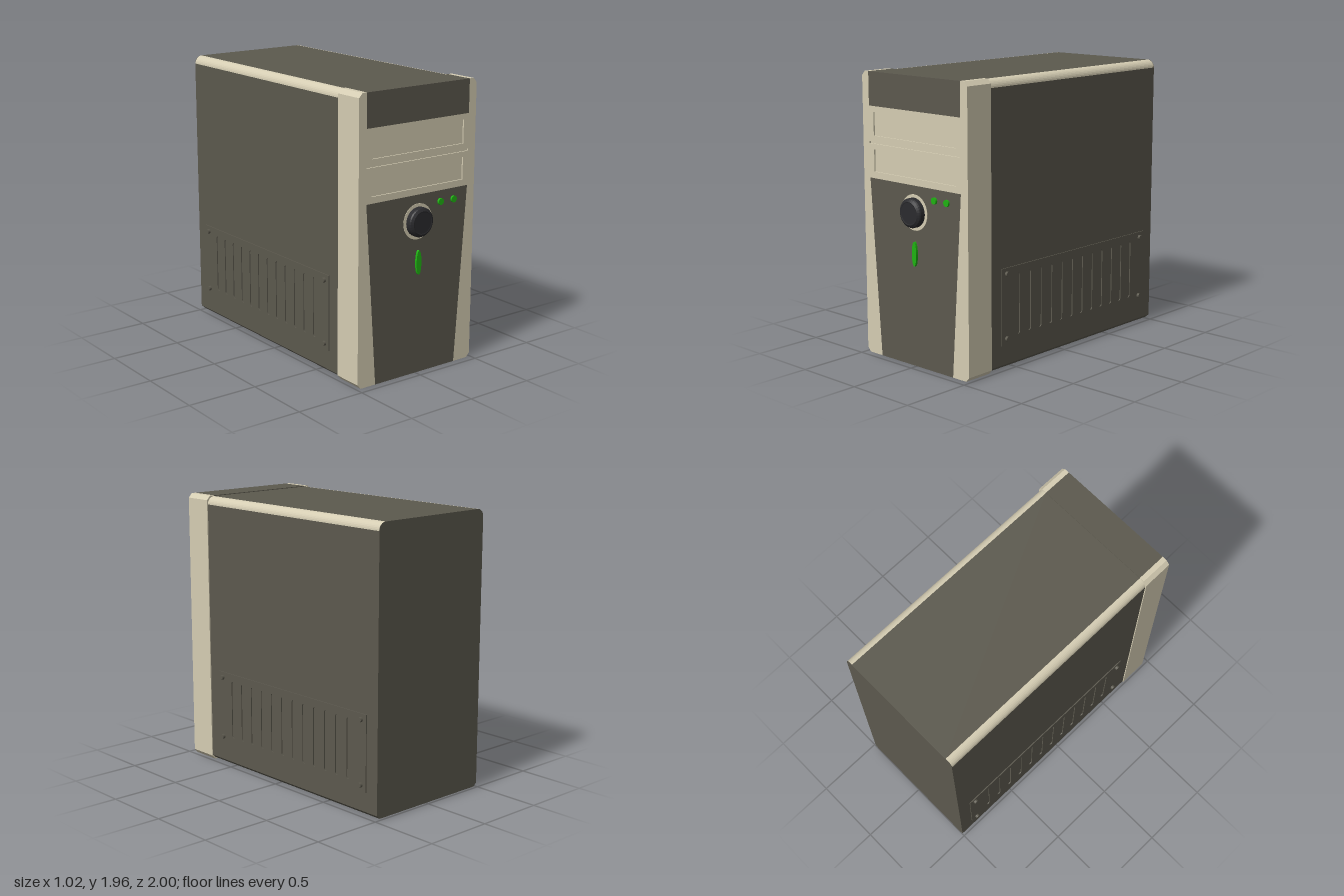
import * as THREE from 'three';

const mat = (color) => new THREE.MeshStandardMaterial({ color });

export function createModel() {
  const root = new THREE.Group();
  const dark = mat(0x5c594e), cream = mat(0xd5cdb3), black = mat(0x2b2b2e), green = mat(0x1fb312);

  const add = (name, geometry, material, parent = root) => {
    const mesh = new THREE.Mesh(geometry, material);
    mesh.name = name;
    parent.add(mesh);
    return mesh;
  };
  const poly = (points) => new THREE.Shape(points.map(([x, y]) => new THREE.Vector2(x, y)));
  const rect = (x0, x1, y0, y1) => poly([[x0, y0], [x1, y0], [x1, y1], [x0, y1]]);
  // Extrude an xy outline from z0 to z1
  const slab = (shape, z0, z1) =>
    new THREE.ExtrudeGeometry(shape, { depth: z1 - z0, bevelEnabled: false, curveSegments: 16 }).translate(0, 0, z0);
  // Cylinder pointing along +z from z0 to z1
  const disc = (r0, r1, x, y, z0, z1, n = 24) =>
    new THREE.CylinderGeometry(r1, r0, z1 - z0, n).rotateX(Math.PI / 2).translate(x, y, (z0 + z1) / 2);

  // Case body with room for the rounded top edge strips
  const back = -1, seam = 0.73, front = 0.945;
  const W = 0.485, top = 1.955, low = 0.012;
  const arc = [];
  for (let i = 0; i <= 8; i++) {
    const a = (i / 8) * Math.PI / 2;
    arc.push([0.43 + 0.055 * Math.cos(a), 1.9 + 0.055 * Math.sin(a)]);
  }
  const flip = (pts) => pts.map(([x, y]) => [-x, y]).reverse();
  const base = [[-W, 0.035], [-W + 0.025, low], [W - 0.025, low], [W, 0.035]];
  add('caseBody', slab(poly([...base, [W, 1.9], [0.43, 1.9], [0.43, top], [-0.43, top], [-0.43, 1.9], [-W, 1.9]]),
    back + 0.003, seam), dark);
  add('backPanel', slab(poly([...base, ...arc, ...flip(arc)]), back, back + 0.003), dark);

  // Rounded strips and front bezel sides, mirrored
  const strip = [[0.43, 1.9], ...arc];
  const trim = [[0.345, 0], [0.465, 0], [0.492, 0.03], [0.492, 1.93], [0.465, 1.96], [0.43, 1.96], [0.43, 1.24]];
  for (const [side, f] of [['left', (p) => p], ['right', flip]]) {
    add(side + 'TopStrip', slab(poly(f(strip)), back + 0.003, seam), cream);
    add(side + 'BezelTrim', slab(poly(f(trim)), seam, front), cream);
  }

  // Centre of the bezel
  add('bezelTop', slab(rect(-0.43, 0.43, 1.73, 1.96), seam, front), dark);
  add('bezelLower', slab(poly([[-0.345, 0], [0.345, 0], [0.43, 1.24], [-0.43, 1.24]]), seam, front), dark);

  // Two drive bays with recessed covers and a groove between them
  add('bayBacking', slab(rect(-0.43, 0.43, 1.24, 1.73), seam, front - 0.01), cream);
  for (const [y0, y1, h0, h1] of [[1.24, 1.475, 1.285, 1.437], [1.49, 1.73, 1.53, 1.69]]) {
    const frame = rect(-0.43, 0.43, y0, y1);
    frame.holes.push(rect(-0.387, 0.387, h0, h1));
    add('driveBayFrame', slab(frame, front - 0.01, front), cream);
  }

  // Power button and its ring
  const ring = new THREE.Shape().absarc(0, 1.06, 0.122, 0, Math.PI * 2);
  ring.holes.push(new THREE.Path().absarc(0, 1.06, 0.098, 0, Math.PI * 2));
  add('buttonRing', slab(ring, front, front + 0.003), cream);
  const knob = [[0.1, 0], [0.1, 0.035], [0.095, 0.044], [0.078, 0.055], [0.072, 0.053], [0, 0.053]]
    .map(([r, h]) => new THREE.Vector2(r, h));
  const knobGeo = new THREE.LatheGeometry(knob, 32).toNonIndexed();
  knobGeo.computeVertexNormals();
  knobGeo.rotateX(Math.PI / 2).translate(0, 1.06, front);
  add('powerButton', knobGeo, black);

  // Indicator lights
  for (const x of [0.192, 0.306]) add('indicatorLight', disc(0.023, 0.023, x, 1.165, front, front + 0.014), green);
  const lens = new THREE.Shape().absellipse(0.005, 0.78, 0.021, 0.084, 0, Math.PI * 2);
  add('statusLight', slab(lens, front, front + 0.016), green);

  // Slotted vent plates with corner screws, drawn facing +z and turned to each side
  for (const s of [1, -1]) {
    const vent = new THREE.Group();
    vent.name = s > 0 ? 'leftVent' : 'rightVent';
    const plate = rect(-0.765, 0.765, 0.17, 0.7);
    for (let i = 0; i < 12; i++) {
      const u = s * (-0.605 + i * 0.1095), r = 0.016;
      const slot = new THREE.Path();
      slot.absarc(u, 0.63, r, 0, Math.PI);
      slot.absarc(u, 0.24, r, Math.PI, Math.PI * 2);
      slot.closePath();
      plate.holes.push(slot);
    }
    add('ventPlate', slab(plate, W - 0.001, W + 0.007), dark, vent);
    for (const u of [-0.72, 0.718])
      for (const y of [0.215, 0.66]) add('ventScrew', disc(0.017, 0.017, s * u, y, W, 0.51, 16), dark, vent);
    vent.rotation.y = s * Math.PI / 2;
    vent.position.z = -0.135;
    root.add(vent);
  }
  return root;
}
